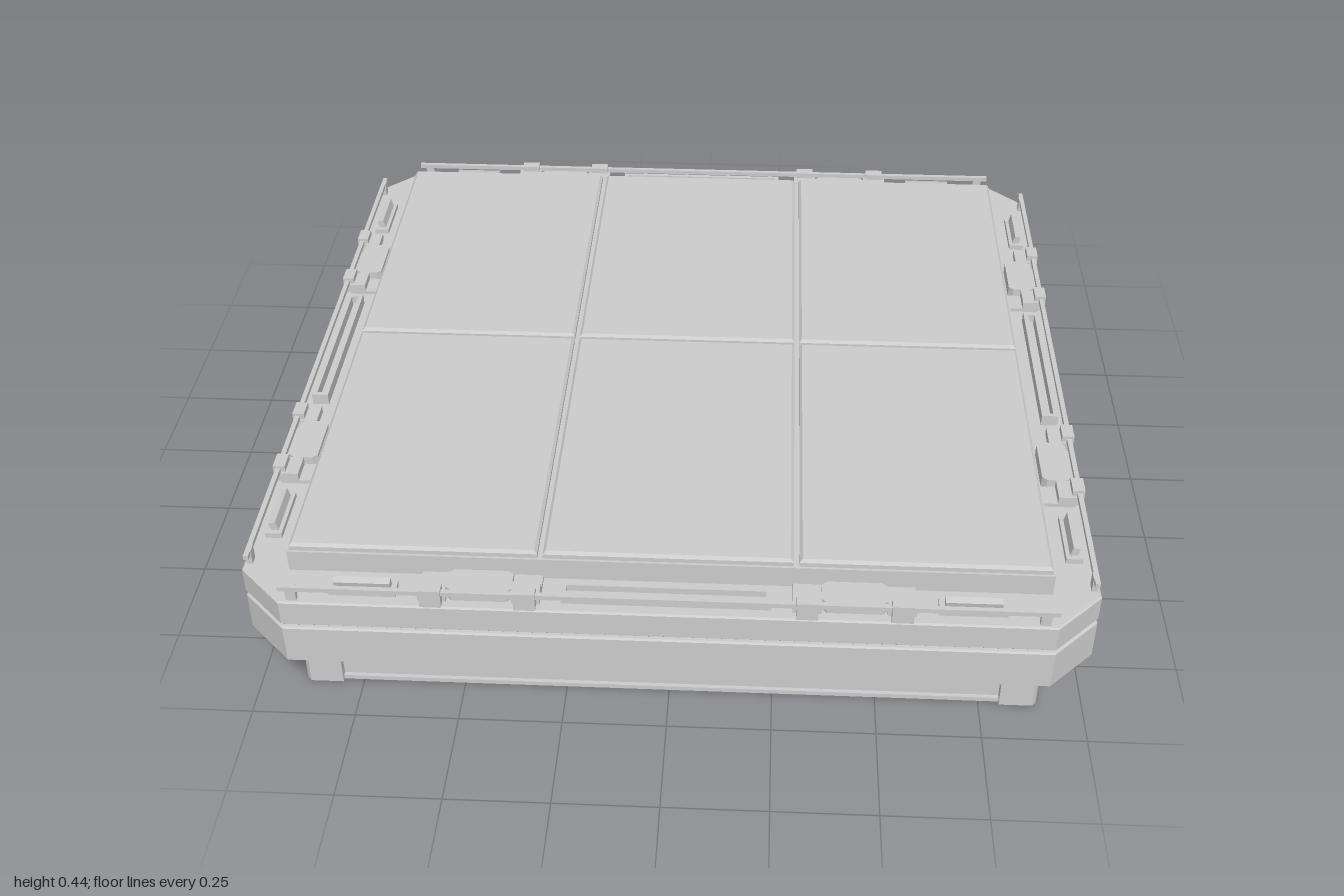
import * as THREE from 'three';

const grey = new THREE.MeshStandardMaterial({ color: 0xcccccc, flatShading: true });

// Rectangle outline with cut corners, in the xz plane
function outline(hx, hz, cut, Type = THREE.Shape) {
  const s = new Type();
  const pts = cut > 0
    ? [[hx - cut, -hz], [hx, -hz + cut], [hx, hz - cut], [hx - cut, hz],
       [-hx + cut, hz], [-hx, hz - cut], [-hx, -hz + cut], [-hx + cut, -hz]]
    : [[hx, -hz], [hx, hz], [-hx, hz], [-hx, -hz]];
  s.setFromPoints(pts.map(([x, z]) => new THREE.Vector2(x, z)));
  return s;
}

// Upright extrusion of an outline from y0 to y1
function slab(parent, name, shape, y0, y1, bevel = 0) {
  const geo = new THREE.ExtrudeGeometry(shape, {
    depth: y1 - y0 - 2 * bevel, bevelEnabled: bevel > 0, bevelSegments: 1,
    bevelSize: bevel, bevelThickness: bevel, bevelOffset: -bevel,
  });
  geo.rotateX(-Math.PI / 2);
  geo.translate(0, y0 + bevel, 0);
  const mesh = new THREE.Mesh(geo, grey);
  mesh.name = name;
  parent.add(mesh);
  return mesh;
}

function ring(parent, name, half, cut, hole, y0, y1, bevel = 0) {
  const s = outline(half, half, cut);
  s.holes.push(outline(hole, hole, 0, THREE.Path));
  return slab(parent, name, s, y0, y1, bevel);
}

// Box given by its limits on each axis
function box(parent, name, x0, x1, y0, y1, z0, z1) {
  const mesh = new THREE.Mesh(new THREE.BoxGeometry(x1 - x0, y1 - y0, z1 - z0), grey);
  mesh.position.set((x0 + x1) / 2, (y0 + y1) / 2, (z0 + z1) / 2);
  mesh.name = name;
  parent.add(mesh);
  return mesh;
}

// Base walls with a stepped outer face and corner posts
function buildBase() {
  const g = new THREE.Group();
  g.name = 'base';
  ring(g, 'bottomRim', 0.88, 0, 0.84, 0, 0.012);
  ring(g, 'lowerWall', 0.87, 0, 0.85, 0.012, 0.1);
  ring(g, 'upperWall', 0.862, 0, 0.85, 0.1, 0.2);
  const corner = new THREE.Shape();
  corner.setFromPoints([[0.8, 0.85], [0.85, 0.85], [0.85, 0.8], [0.89, 0.8], [0.89, 0.88], [0.88, 0.89], [0.8, 0.89]]
    .map(([x, z]) => new THREE.Vector2(x, z)));
  for (let i = 0; i < 4; i++) {
    const post = slab(g, 'cornerPost', corner, 0, 0.18);
    post.rotation.y = i * Math.PI / 2;
  }
  return g;
}

// Cut-corner deck: two bands with a groove between, and a ribbed underside
function buildDeck() {
  const g = new THREE.Group();
  g.name = 'deck';
  ring(g, 'lowerBand', 1, 0.11, 0.85, 0.175, 0.283, 0.004);
  ring(g, 'groove', 0.98, 0.1, 0.85, 0.275, 0.3);
  slab(g, 'upperBand', outline(1, 1, 0.11), 0.291, 0.362, 0.004);

  const trim = outline(0.81, 0.47, 0.14);
  trim.holes.push(outline(0.77, 0.43, 0.13, THREE.Path));
  slab(g, 'undersideTrim', trim, 0.255, 0.295);
  for (const z of [-0.3, -0.1, 0.1, 0.3])
    box(g, 'longRib', -0.775, 0.775, 0.27, 0.295, z - 0.025, z + 0.025);
  for (const s of [-1, 1]) for (let i = -4; i <= 4; i++) {
    const x = i * 0.18, z = s * 0.66;
    box(g, 'shortRib', x - 0.022, x + 0.022, 0.272, 0.295, z - 0.14, z + 0.14);
  }
  return g;
}

// Six bevelled top panels over a plinth
function buildPanels() {
  const g = new THREE.Group();
  g.name = 'topPanels';
  slab(g, 'plinth', outline(0.888, 0.888, 0), 0.36, 0.418);
  for (const x of [-0.593, 0, 0.593]) for (const z of [-0.444, 0.444]) {
    const p = slab(g, 'panel', outline(0.29, 0.438, 0), 0.405, 0.436, 0.007);
    p.position.x = x;
    p.position.z = z;
  }
  return g;
}

// Fittings along the +z edge
function buildEdge() {
  const g = new THREE.Group();
  g.name = 'edgeFittings';
  box(g, 'rail', -0.89, 0.89, 0.389, 0.401, 0.98, 0.992);

  // Long slotted holder
  for (const z of [0.936, 0.966])
    box(g, 'slotSide', -0.24, 0.24, 0.36, 0.392, z - 0.006, z + 0.006);
  for (const x of [-0.235, 0.235])
    box(g, 'slotEnd', x - 0.006, x + 0.006, 0.36, 0.392, 0.93, 0.972);
  box(g, 'slotBar', -0.23, 0.23, 0.36, 0.37, 0.945, 0.957);

  for (const s of [-1, 1]) {
    const side = new THREE.Group();
    side.name = 'latchSet';
    side.position.x = s * 0.43;
    // Raised tab between two brackets
    const tab = slab(side, 'latchTab', outline(0.075, 0.036, 0.012), 0.36, 0.393);
    tab.position.z = 0.938;
    for (const e of [-1, 1]) {
      const x = e * 0.108;
      box(side, 'bracket', x - 0.033, x + 0.033, 0.36, 0.392, 0.935, 0.978);
      box(side, 'railClamp', x - 0.025, x + 0.025, 0.36, 0.408, 0.968, 0.998);
      box(side, 'bracketFoot', x - 0.033, x + 0.033, 0.36, 0.372, 0.89, 0.935);
    }
    g.add(side);

    // Short raised holder
    const h = s * 0.7;
    box(g, 'holder', h - 0.078, h + 0.078, 0.36, 0.376, 0.93, 0.97);
    const grip = box(g, 'holderGrip', h - 0.065, h + 0.065, 0.37, 0.398, 0.942, 0.96);
    grip.rotation.x = 0.25;
    box(g, 'railStay', s * 0.86 - 0.012, s * 0.86 + 0.012, 0.36, 0.401, 0.978, 0.992);
  }
  return g;
}

export function createModel() {
  const model = new THREE.Group();
  model.name = 'platform';
  model.add(buildBase(), buildDeck(), buildPanels());
  for (let i = 0; i < 4; i++) {
    const edge = buildEdge();
    edge.rotation.y = i * Math.PI / 2;
    model.add(edge);
  }
  return model;
}
